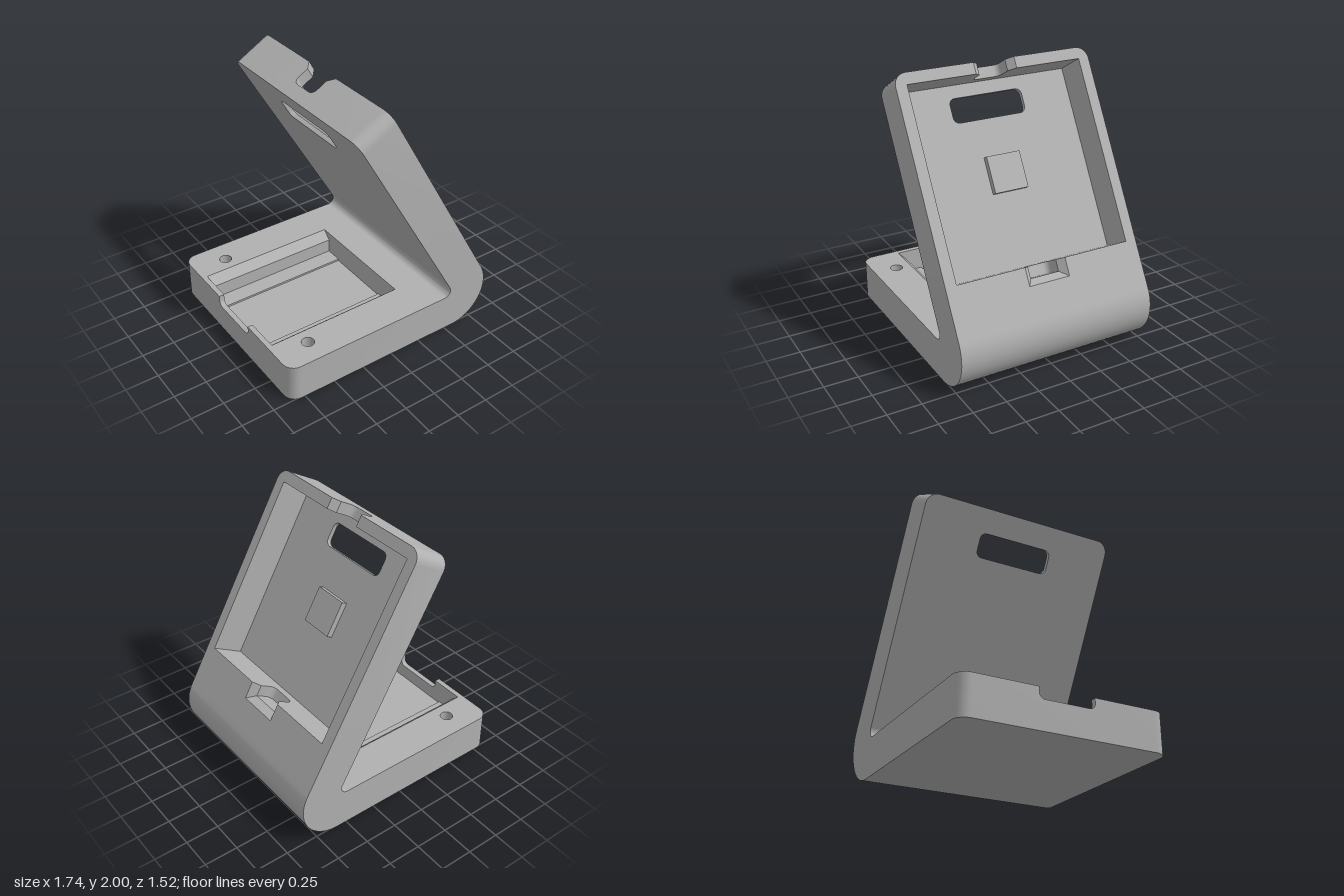
import * as THREE from 'three';
import { mergeGeometries, toCreasedNormals } from 'three/addons/utils/BufferGeometryUtils.js';

// Each slab is built in its own frame: s runs away from the bend, b across, h through the thickness.
const T = 0.29, W = 0.76, R = 0.09, S0 = 0.0866;   // thickness, half width, corner radius, start of slab
const BEND_X = 0.575;

const arc = (cx, cy, r, a0, a1, n = 6) => Array.from({ length: n + 1 }, (_, i) => {
  const a = THREE.MathUtils.degToRad(a0 + (a1 - a0) * i / n);
  return [cx + r * Math.cos(a), cy + r * Math.sin(a)];
});
const mirror = (half) => [...half, ...half.map(([x, y]) => [-x, y]).reverse()];
const mirrorB = (half) => [...half, ...half.map(([x, y]) => [x, -y]).reverse()];
const vecs = (pts) => pts.map(([x, y]) => new THREE.Vector2(x, y));

// Ruled surface between two polylines of equal length
function loft(A, B) {
  const p = [];
  for (let i = 0; i + 1 < A.length; i++)
    p.push(...A[i], ...A[i + 1], ...B[i + 1], ...A[i], ...B[i + 1], ...B[i]);
  return new THREE.BufferGeometry().setAttribute('position', new THREE.Float32BufferAttribute(p, 3));
}
// Wall following an (s, b) path from height h0 to h1
const wall = (path, h0, h1) => loft(path.map(([s, b]) => [s, b, h0]), path.map(([s, b]) => [s, b, h1]));
// A (b, h) profile carried from s0 to s1
const sweep = (prof, s0, s1) => loft(prof.map(([b, h]) => [s0, b, h]), prof.map(([b, h]) => [s1, b, h]));

function flat(pts, holes, matrix, flip) {
  const shape = new THREE.Shape(vecs(pts));
  shape.holes = holes.map((h) => new THREE.Path(vecs(h)));
  const g = new THREE.ShapeGeometry(shape).toNonIndexed();
  g.deleteAttribute('uv');
  g.deleteAttribute('normal');
  g.applyMatrix4(matrix);
  if (flip) {
    const p = g.attributes.position.array;
    for (let i = 0; i < p.length; i += 9)
      for (let k = 3; k < 6; k++) [p[i + k], p[i + k + 3]] = [p[i + k + 3], p[i + k]];
  }
  return g;
}
// Flat face at height h, in (s, b)
const faceH = (pts, h, holes = [], flip = false) => flat(pts, holes, new THREE.Matrix4().makeTranslation(0, 0, h), flip);
// Flat face at position s, in (b, h)
const faceS = (pts, s, flip = false) => flat(pts, [], new THREE.Matrix4().makeBasis(
  new THREE.Vector3(0, 1, 0), new THREE.Vector3(0, 0, 1), new THREE.Vector3(1, 0, 0)).setPosition(s, 0, 0), flip);

// Outer edge of a slab of length L, round at the far corners
const halfEdge = (L) => [[S0, -W], ...arc(L - R, -W + R, R, -90, 0)];

// Far end and rim sides of a slab with a notch in the end
function rim(L, notch) {
  const edge = halfEdge(L), other = mirrorB(edge).slice(edge.length);
  return [
    wall(edge, 0, T), wall(other, 0, T),
    faceS([[-W + R, T], [-W + R, 0], [W - R, 0], [W - R, T], ...notch], L),
  ];
}

function makeBase() {
  const L = 1.445, s0 = 0.325, s1 = 1.405;
  const notch = mirror([[0.205, T], ...arc(0.165, 0.25, 0.04, 0, -90)]);
  const trough = mirror([[0.467, T], [0.402, 0.225], [0.402, 0.115], [0.268, 0.115], [0.268, 0.1]]);
  const holes = [-0.58, 0.58].map((b) => arc(1.18, b, 0.047, 360, 0, 28));
  const top = mirrorB([...halfEdge(L), [L, -0.205], [s1, -0.205], [s1, -0.467], [s0, -0.467]]);
  return [
    ...rim(L, notch),
    faceH(top, T, holes),
    faceH(mirrorB(halfEdge(L)), 0, [], true),
    // open tray with sloped lead-in edges
    sweep(trough, s0, s1),
    faceS(trough, s0),
    faceS([...trough, ...notch.slice().reverse()], s1, true),
    sweep(notch, s1, L),
    // blind screw holes
    ...holes.flatMap((h) => [wall(h, 0.12, T), faceH(h, 0.12)]),
  ];
}

function makeBackrest() {
  const L = 1.81, s0 = 0.364, s1 = 1.726, half = 0.677, floor = 0.035;
  const slot = [[0.112, 0.24], ...arc(0.067, 0.155, 0.045, 0, -90)];
  const notch = mirror([[0.16, T], ...slot]);
  const pocket = mirror(slot);
  const outer = mirrorB([...halfEdge(L), [L, -0.16], [s1, -0.16], [s1, -half], [s0, -half], [s0, -0.16], [0.231, -0.16]]);
  const c = 0.045, w0 = 1.452, w1 = 1.631, wb = 0.29;
  const window_ = [
    ...arc(w0 + c, -wb + c, c, 180, 270), ...arc(w1 - c, -wb + c, c, 270, 360),
    ...arc(w1 - c, wb - c, c, 0, 90), ...arc(w0 + c, wb - c, c, 90, 180)];
  const notchedWall = [[-half, T], [-half, floor], [half, floor], [half, T], ...notch];
  return [
    ...rim(L, notch),
    faceH(outer, T),
    faceH(mirrorB(halfEdge(L)), 0, [window_], true),
    // deep recess with a cable window in its thin floor
    faceH([[s0, -half], [s1, -half], [s1, half], [s0, half]], floor, [window_]),
    wall([...window_, window_[0]].reverse(), 0, floor),
    wall([[s0, half], [s1, half]], floor, T),
    wall([[s1, -half], [s0, -half]], floor, T),
    faceS(notchedWall, s0),
    faceS(notchedWall, s1, true),
    // notch through the upper rim
    sweep(notch, s1, L),
    // blind notch below the recess, chamfered on three sides
    sweep(pocket, 0.28, s0),
    faceS(pocket, 0.28),
    loft([[s0, -0.112, 0.24], [0.28, -0.112, 0.24], [0.28, 0.112, 0.24], [s0, 0.112, 0.24]],
      [[s0, -0.16, T], [0.231, -0.16, T], [0.231, 0.16, T], [s0, 0.16, T]]),
  ];
}

// Rounded bend joining the two slabs, with a small inner fillet
function makeBend() {
  const u = [-0.5, 0.866], n = [0.866, 0.5];
  const pts = [
    [BEND_X - S0, 0], ...arc(BEND_X, T, T, -90, 30, 28),
    [BEND_X + n[0] * T + u[0] * S0, T + n[1] * T + u[1] * S0],
    ...arc(BEND_X - S0, T + 0.05, 0.05, 30, -90, 12),
  ];
  const g = new THREE.ExtrudeGeometry(new THREE.Shape(vecs(pts)), { depth: 2 * W, bevelEnabled: false });
  return g.translate(0, 0, -W);
}

export function createModel() {
  const grey = new THREE.MeshStandardMaterial({ color: 0xb0b0b0, side: THREE.DoubleSide });
  grey.name = 'grey plastic';
  const model = new THREE.Group();
  model.name = 'dockStand';
  const add = (name, geometry, parent) => {
    const mesh = new THREE.Mesh(toCreasedNormals(geometry, 0.5), grey);
    mesh.name = name;
    parent.add(mesh);
    return mesh;
  };
  const frame = (name, sAxis, hAxis, x, y) => {
    const g = new THREE.Group();
    g.name = name;
    const m = new THREE.Matrix4().makeBasis(sAxis, new THREE.Vector3(0, 0, 1), hAxis).setPosition(x, y, 0);
    m.decompose(g.position, g.quaternion, g.scale);
    model.add(g);
    return g;
  };

  const base = frame('base', new THREE.Vector3(-1, 0, 0), new THREE.Vector3(0, 1, 0), BEND_X, 0);
  add('baseSlab', mergeGeometries(makeBase()), base);

  const q = Math.sqrt(3) / 2;
  const back = frame('backrest', new THREE.Vector3(-0.5, q, 0), new THREE.Vector3(q, 0.5, 0), BEND_X, T);
  add('backrestSlab', mergeGeometries(makeBackrest()), back);
  // raised square pad on the recess floor
  add('pad', new THREE.BoxGeometry(0.268, 0.266, 0.045), back).position.set(1.044, 0, 0.0575);

  add('bend', makeBend(), model);
  return model;
}
